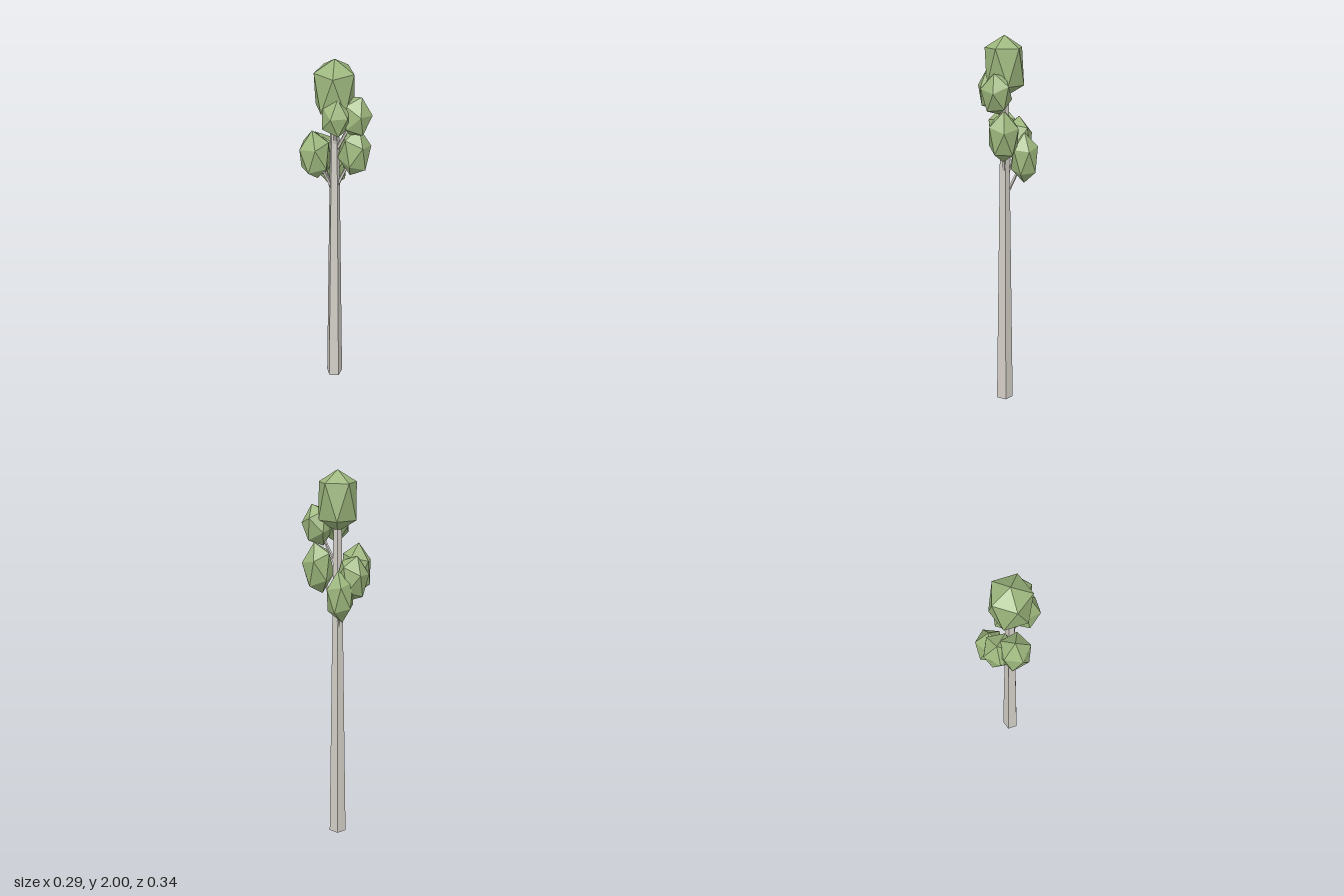
import * as THREE from 'three';

const bark = new THREE.MeshStandardMaterial({ color: 0xd2cec6, flatShading: true });
const leaf = new THREE.MeshStandardMaterial({ color: 0x9cb67c, flatShading: true });

// Five-sided tapered limb between two points
function limb(name, from, to, r0, r1) {
  const a = new THREE.Vector3(...from), b = new THREE.Vector3(...to);
  const dir = b.clone().sub(a);
  const geo = new THREE.CylinderGeometry(r1, r0, dir.length(), 5);
  geo.rotateY(-Math.PI / 2); // one corner toward the side
  const mesh = new THREE.Mesh(geo, bark);
  mesh.name = name;
  mesh.position.copy(a).add(b).multiplyScalar(0.5);
  mesh.quaternion.setFromUnitVectors(new THREE.Vector3(0, 1, 0), dir.normalize());
  return mesh;
}

// Faceted leaf clump: an icosahedron standing on a corner, turned, tilted and stretched
function clump(name, [x, y, z], radius, halfHeight, turn = 0, tiltX = 0, tiltZ = 0) {
  const geo = new THREE.IcosahedronGeometry(1, 0);
  geo.rotateZ(-Math.atan(2 / (1 + Math.sqrt(5))));
  geo.rotateY(turn).rotateX(tiltX).rotateZ(tiltZ);
  geo.scale(radius, halfHeight, radius);
  const mesh = new THREE.Mesh(geo, leaf);
  mesh.name = name;
  mesh.position.set(x, y, z);
  return mesh;
}

export function createModel() {
  const tree = new THREE.Group();
  tree.name = 'tallTree';

  // Trunk
  tree.add(limb('trunk', [0, 0, 0], [0, 1.78, 0], 0.047, 0.021));

  // Crown clump, with its two rings of corners spread apart
  const crown = clump('crownLeaves', [0, 1.845, 0], 0.112, 0.155);
  const p = crown.geometry.attributes.position;
  for (let i = 0; i < p.count; i++) {
    if (Math.abs(p.getY(i)) < 0.12) p.setY(i, p.getY(i) * 1.34);
  }
  crown.geometry.computeVertexNormals();
  tree.add(crown);

  // Side clumps: centre, radius, half height, turn, tilts, height where the branch leaves the trunk
  const sides = [
    [[0.04, 1.72, 0.098], 0.083, 0.113, 0.3, 0.35, -0.15, 1.52],
    [[-0.042, 1.73, 0.045], 0.08, 0.111, 0.9, 0.3, 0.2, 1.54],
    [[0.066, 1.505, 0.074], 0.086, 0.138, 0.5, 0.15, -0.2, 1.3],
    [[-0.073, 1.495, -0.066], 0.086, 0.138, 0.2, -0.1, 0.1, 1.29],
    [[0, 1.46, -0.095], 0.087, 0.125, 1.1, -0.3, 0.1, 1.25],
    [[0.073, 1.375, -0.073], 0.078, 0.137, 0.8, 0.1, -0.1, 1.18],
  ];
  for (const [centre, r, h, turn, tx, tz, start] of sides) {
    const [x, y, z] = centre;
    tree.add(clump('sideLeaves', centre, r, h, turn, tx, tz));
    tree.add(limb('branch', [x * 0.1, start, z * 0.1], [x, y, z], 0.01, 0.006));
  }
  return tree;
}
